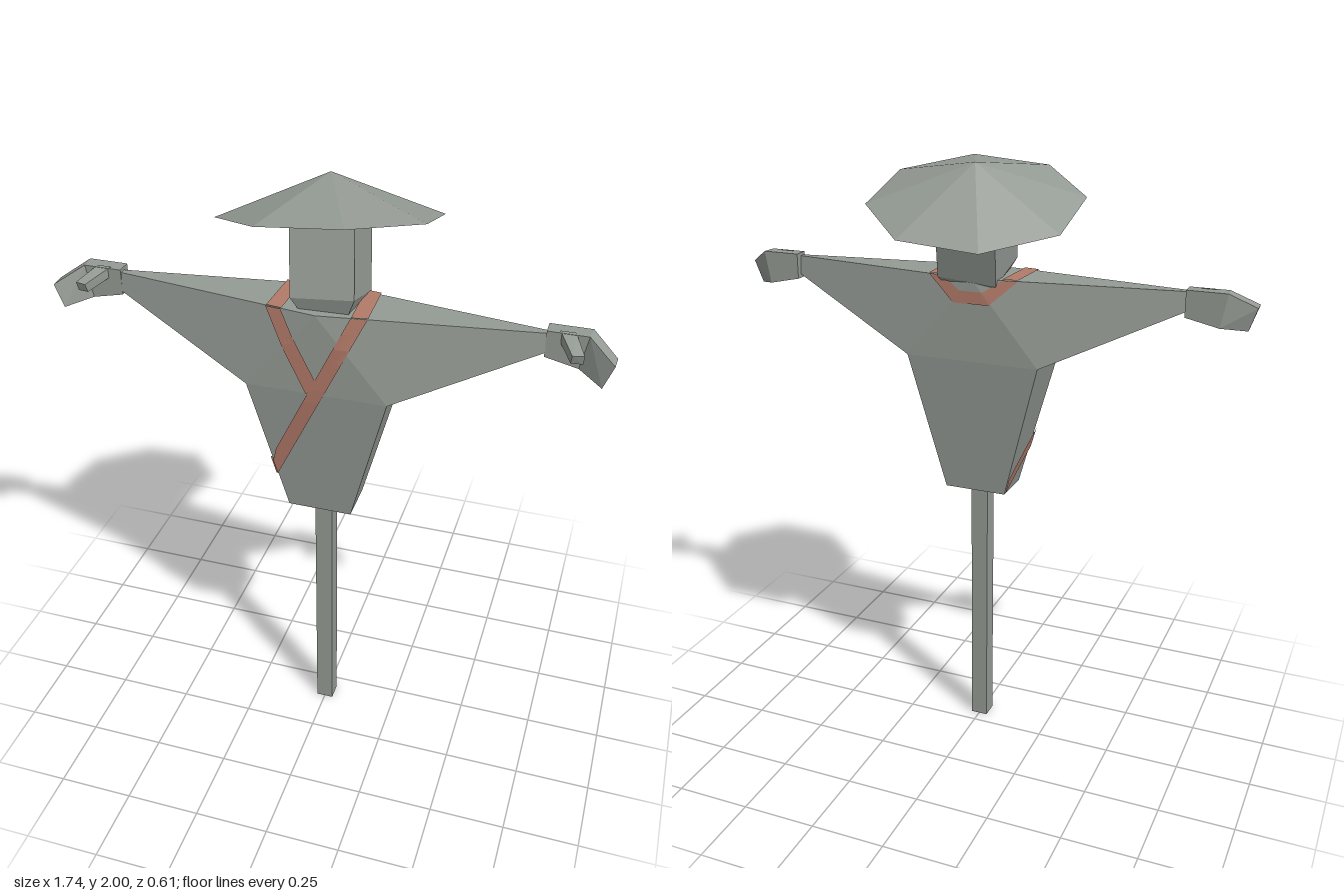
import * as THREE from 'three';
import { ConvexGeometry } from 'three/addons/geometries/ConvexGeometry.js';

const MID = 0.075; // depth centre of the body

export function createModel() {
  const group = new THREE.Group();
  const cloth = new THREE.MeshStandardMaterial({ color: 0x949a94 });
  cloth.name = 'greyCloth';
  const rope = new THREE.MeshStandardMaterial({ color: 0xb27a69, side: THREE.DoubleSide });
  rope.name = 'paleRedRope';

  const add = (name, geometry, material = cloth, parent = group) => {
    const mesh = new THREE.Mesh(geometry, material);
    mesh.name = name;
    parent.add(mesh);
    return mesh;
  };
  const hull = (points) => new ConvexGeometry(points.map((p) => new THREE.Vector3(...p)));
  const facets = (positions, index) => {
    let g = new THREE.BufferGeometry();
    g.setAttribute('position', new THREE.Float32BufferAttribute(positions, 3));
    g.setIndex(index);
    g = g.toNonIndexed();
    g.computeVertexNormals();
    return g;
  };

  // Pole
  add('pole', new THREE.BoxGeometry(0.058, 0.92, 0.058).translate(0, 0.46, 0.073));

  // Body with outstretched arms: outline points as [x, y, half depth]
  const outline = [
    [-0.105, 0.91, 0.07], [0.105, 0.91, 0.07], [0.225, 1.37, 0.105],
    [0.665, 1.58, 0.017], [0.665, 1.64, 0.01], [0, 1.64, 0.105],
    [-0.665, 1.64, 0.01], [-0.665, 1.58, 0.017], [-0.225, 1.37, 0.105],
  ];
  const n = outline.length;
  const positions = [];
  for (const s of [1, -1]) for (const [x, y, d] of outline) positions.push(x, y, MID + s * d);
  const index = [];
  const face = [[0, 1, 2], [0, 2, 8], [8, 2, 5], [2, 3, 5], [3, 4, 5], [8, 5, 7], [7, 5, 6]];
  for (const [a, b, c] of face) index.push(a, b, c, n + a, n + c, n + b);
  for (let i = 0; i < n; i++) {
    const j = (i + 1) % n;
    index.push(i, n + i, n + j, i, n + j, j);
  }
  add('body', facets(positions, index));

  // Body surface rules used to lay the rope on it
  const halfDepth = (x, y) => (y < 1.37
    ? 0.105 - 0.035 * (1.37 - y) / 0.46
    : Math.min(0.105, 0.105 - 0.143 * Math.abs(x) + 0.119 * (1.64 - y)));
  const sideX = (y) => 0.105 + 0.12 * (y - 0.91) / 0.46;
  const gap = 0.004;
  const onFront = (x, y) => [y < 1.37 ? Math.max(x, -sideX(y)) : x, y, MID + halfDepth(x, y) + gap];
  const onBack = (x, y) => [x, y, MID - halfDepth(x, y) - gap];
  const onTop = (x, t) => [x, 1.64 + gap, MID + t * (halfDepth(x, 1.64) + gap)];
  const onSide = (t, y) => [-sideX(y) - gap, y, MID + t * (halfDepth(0, y) + gap)];

  // Ribbon between two edge polylines, mapped onto the body
  const ribbon = (name, edgeA, edgeB, map) => {
    const steps = 12, across = 4, pos = [], idx = [];
    const rows = (edgeA.length - 1) * steps;
    for (let r = 0; r <= rows; r++) {
      const k = Math.min(Math.floor(r / steps), edgeA.length - 2);
      const t = r / steps - k;
      const at = (e, c) => THREE.MathUtils.lerp(e[k][c], e[k + 1][c], t);
      for (let a = 0; a <= across; a++) {
        const w = a / across;
        pos.push(...map(...[0, 1].map((c) => THREE.MathUtils.lerp(at(edgeA, c), at(edgeB, c), w))));
      }
    }
    for (let r = 0; r < rows; r++) {
      for (let a = 0; a < across; a++) {
        const p = r * (across + 1) + a, q = p + across + 1;
        idx.push(p, q, p + 1, p + 1, q, q + 1);
      }
    }
    add(name, facets(pos, idx), rope);
  };

  // Rope: Y on the chest, over the shoulders, round the nape and the right hip
  ribbon('longChestRope', [[0.105, 1.64], [-0.187, 1.035]], [[0.155, 1.64], [-0.137, 1.035]], onFront);
  ribbon('shortChestRope', [[-0.16, 1.64], [-0.03, 1.37]], [[-0.11, 1.64], [0.01, 1.40]], onFront);
  for (const s of [1, -1]) {
    ribbon('shoulderRope', [[s * 0.107, 1], [s * 0.1, -1]], [[s * 0.157, 1], [s * 0.15, -1]], onTop);
  }
  ribbon('napeRope',
    [[-0.15, 1.64], [-0.06, 1.56], [0.06, 1.56], [0.15, 1.64]],
    [[-0.1, 1.64], [-0.04, 1.6], [0.04, 1.6], [0.1, 1.64]], onBack);
  ribbon('hipRope', [[1, 1.10], [-1, 0.97]], [[1, 1.035], [-1, 0.912]], onSide);

  // Tilted head and hat share one frame, with the brim at its origin
  const head = new THREE.Group();
  head.name = 'headAndHat';
  head.position.set(-0.005, 1.877, 0);
  head.rotation.set(THREE.MathUtils.degToRad(-16), 0, THREE.MathUtils.degToRad(5));
  group.add(head);
  const square = (h, y) => [[-h, y, -h], [h, y, -h], [h, y, h], [-h, y, h]];
  add('head', hull([...square(0.098, 0.005), ...square(0.098, -0.23), ...square(0.055, -0.31)]), cloth, head);
  const cone = new THREE.ConeGeometry(0.34, 0.126, 8).rotateY(Math.PI / 8).translate(0, 0.063, 0).toNonIndexed();
  cone.computeVertexNormals();
  add('hat', cone, cloth, head);

  // Hands: palm, bent fingers and a thumb, mirrored
  const wrist = [[0.663, 1.566, 0.04], [0.663, 1.65, 0.04], [0.663, 1.566, 0.09], [0.663, 1.65, 0.09]];
  const knuckle = [[0.77, 1.543, 0.04], [0.79, 1.65, 0.04], [0.765, 1.543, 0.09], [0.785, 1.65, 0.09]];
  const tip = [[0.845, 1.525, 0.108], [0.87, 1.60, 0.1], [0.84, 1.525, 0.15], [0.868, 1.60, 0.15]];
  const thumb = [
    [0.70, 1.62, 0.08], [0.745, 1.62, 0.08], [0.70, 1.652, 0.08], [0.745, 1.652, 0.08],
    [0.745, 1.597, 0.16], [0.78, 1.595, 0.153], [0.748, 1.625, 0.168], [0.782, 1.625, 0.16],
  ];
  for (const [s, side] of [[1, 'left'], [-1, 'right']]) {
    const part = (name, points) => add(side + name, hull(points.map(([x, y, z]) => [s * x, y, z])));
    part('Palm', [...wrist, ...knuckle]);
    part('Fingers', [...knuckle, ...tip]);
    part('Thumb', thumb);
  }
  return group;
}
